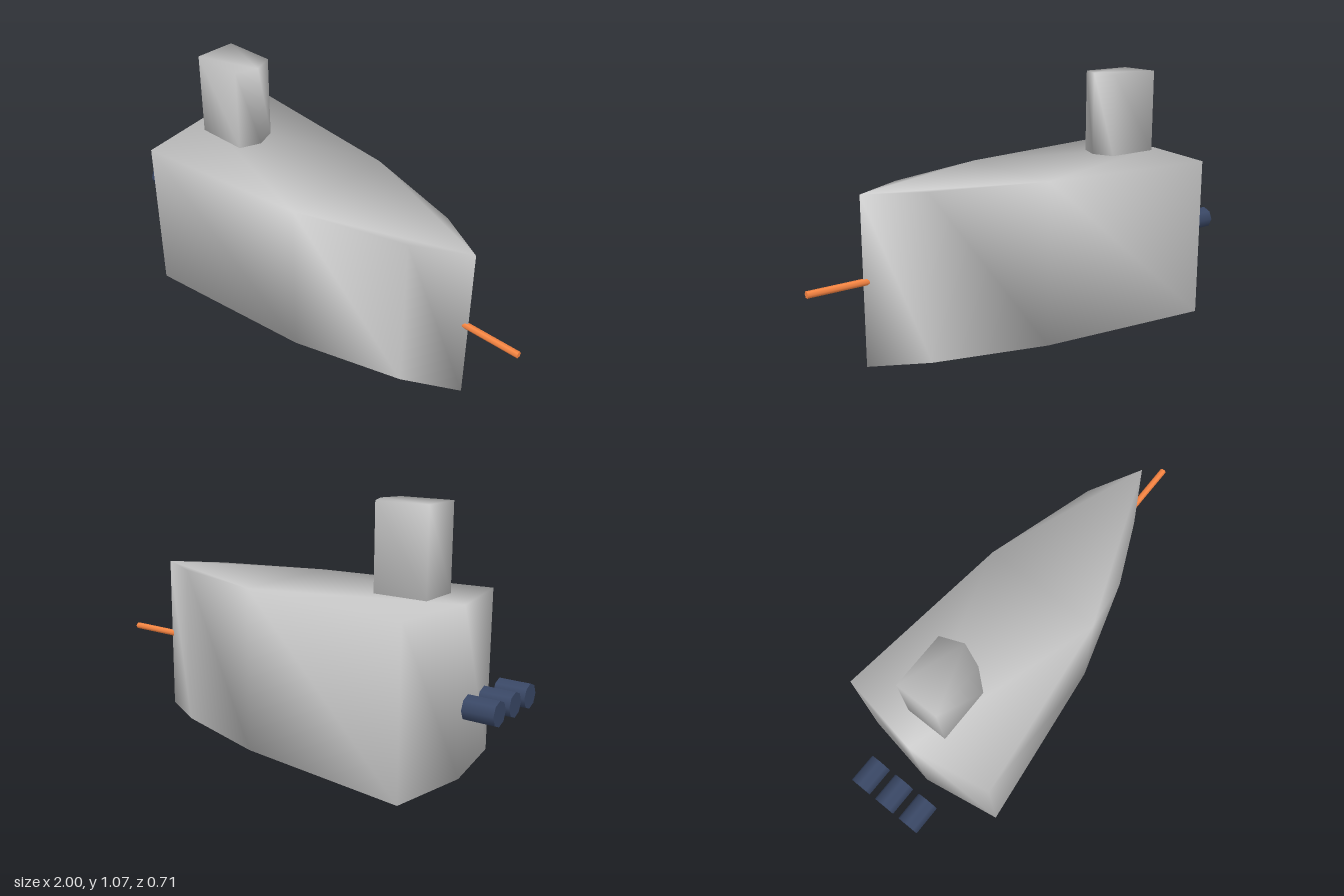
import * as THREE from 'three';
import { mergeVertices } from 'three/addons/utils/BufferGeometryUtils.js';

const grey = new THREE.MeshStandardMaterial({ color: 0xcccccc });
const navy = new THREE.MeshStandardMaterial({ color: 0x3a4866 });
const orange = new THREE.MeshStandardMaterial({ color: 0xff8844 });

// Upright prism over an [x, z] outline, with normals shared across its edges
function softPrism(outline, height) {
  const shape = new THREE.Shape(outline.map(([x, z]) => new THREE.Vector2(x, -z)));
  const extruded = new THREE.ExtrudeGeometry(shape, { depth: height, bevelEnabled: false });
  extruded.rotateX(-Math.PI / 2);
  extruded.deleteAttribute('normal');
  extruded.deleteAttribute('uv');
  const geometry = mergeVertices(extruded, 1e-4);
  geometry.computeVertexNormals();
  return geometry;
}

// Cylinder lying along x
function rod(radius, length, sides) {
  return new THREE.CylinderGeometry(radius, radius, length, sides).rotateZ(Math.PI / 2);
}

export function createModel() {
  const model = new THREE.Group();
  model.name = 'ship';
  const add = (name, geometry, material, x, y, z) => {
    const mesh = new THREE.Mesh(geometry, material);
    mesh.name = name;
    mesh.position.set(x, y, z);
    model.add(mesh);
  };

  // Wedge hull pointing along +x
  const hull = [
    [0.765, 0], [0.54, -0.122], [0.065, -0.263], [-0.72, -0.355],
    [-0.78, 0], [-0.72, 0.355], [0.065, 0.263], [0.54, 0.122],
  ];
  add('hull', softPrism(hull, 0.697), grey, 0, 0, 0);

  // Bridge tower hovering just above the deck
  const tower = [[-0.395, 0], [-0.432, -0.093], [-0.667, -0.093], [-0.667, 0.093], [-0.432, 0.093]];
  add('bridgeTower', softPrism(tower, 0.36), grey, 0, 0.712, 0);

  // Row of engines behind the stern
  for (const i of [-1, 0, 1]) {
    add('engine' + (i + 2), rod(0.05, 0.128, 8), navy, -0.936, 0.35, i * 0.129);
  }

  // Bow gun
  add('bowGun', rod(0.0145, 0.256, 6), orange, 0.872, 0.35, 0);

  return model;
}
